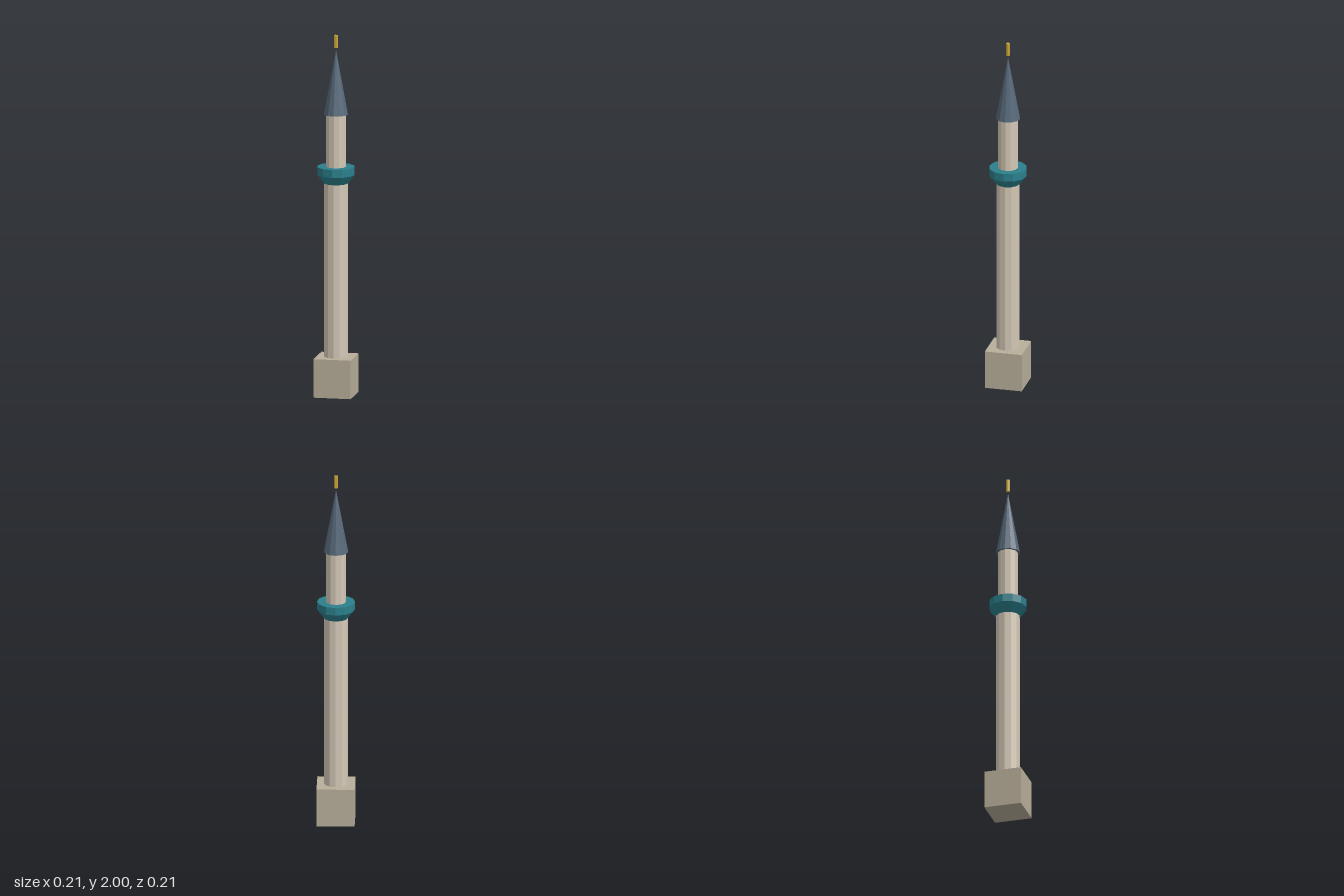
import * as THREE from 'three';

const material = (color) => new THREE.MeshStandardMaterial({ color, flatShading: true });

export function createModel() {
  const model = new THREE.Group();
  const baseStone = material(0xb8ae9a);
  const paleStone = material(0xd4c8b6);
  const teal = material(0x2a7f8c);
  const slate = material(0x566879);
  const gold = material(0xc9a53a);

  function add(name, geometry, mat, y) {
    const mesh = new THREE.Mesh(geometry, mat);
    mesh.name = name;
    mesh.position.y = y;
    model.add(mesh);
    return mesh;
  }

  // Faceted drum between two heights
  function drum(name, rTop, rBottom, y0, y1, mat, sides = 12) {
    return add(name, new THREE.CylinderGeometry(rTop, rBottom, y1 - y0, sides), mat, (y0 + y1) / 2);
  }

  // Square plinth
  add('base', new THREE.BoxGeometry(0.208, 0.214, 0.208), baseStone, 0.107);

  // Lower and upper tower shafts
  drum('lowerShaft', 0.066, 0.066, 0.214, 1.18, paleStone);
  drum('upperShaft', 0.055, 0.055, 1.27, 1.56, paleStone);

  // Balcony: flared corbel under a straight parapet
  drum('balconyCorbel', 0.104, 0.067, 1.178, 1.226, teal);
  drum('balconyParapet', 0.104, 0.104, 1.226, 1.27, teal);

  // Pointed roof
  add('roof', new THREE.ConeGeometry(0.067, 0.36, 12), slate, 1.74);

  // Six-sided finial floating just above the roof tip
  drum('finial', 0.0115, 0.0115, 1.93, 2, gold, 6).rotation.y = Math.PI / 2;

  return model;
}
